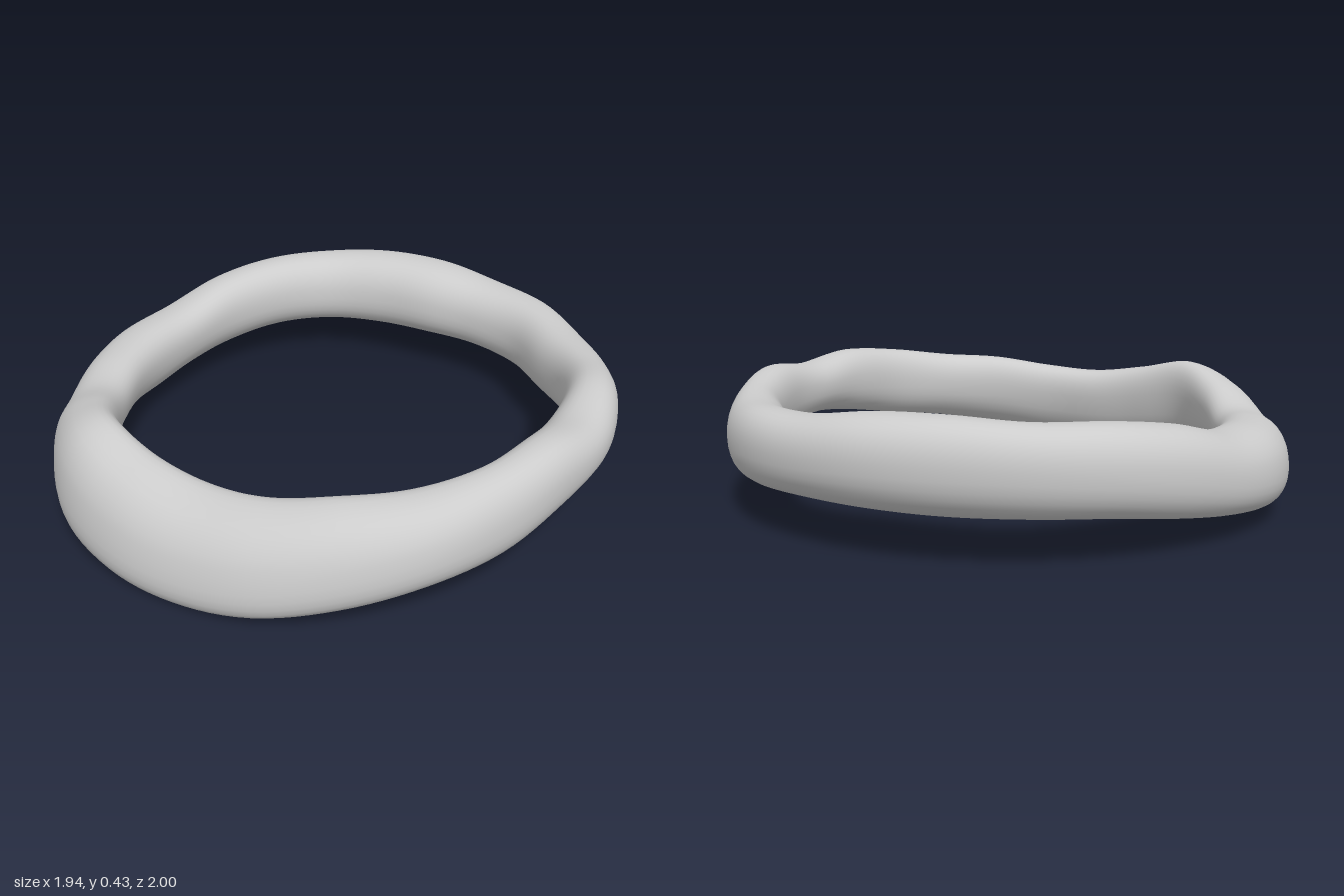
import * as THREE from 'three';

// Cross-sections every 15 degrees, from +x round through +z:
// outer radius, inner radius, bottom, top, lean
const stations = [
  [0.97, 0.765, 0.21, 0.40, 0], [0.965, 0.775, 0.185, 0.428, 0], [0.975, 0.79, 0.145, 0.41, -0.1],
  [0.99, 0.77, 0.115, 0.38, -0.2], [0.995, 0.76, 0.07, 0.365, -0.35], [1.0, 0.75, 0.025, 0.335, -0.45],
  [0.995, 0.735, 0.003, 0.325, -0.5], [1.0, 0.75, 0.008, 0.355, -0.5], [1.0, 0.77, 0.035, 0.395, -0.45],
  [0.965, 0.745, 0.075, 0.35, -0.3], [0.935, 0.72, 0.095, 0.29, -0.2], [0.945, 0.715, 0.075, 0.30, -0.2],
  [0.97, 0.715, 0.05, 0.31, -0.2], [0.975, 0.725, 0.07, 0.32, -0.2], [0.985, 0.75, 0.10, 0.37, -0.1],
  [1.0, 0.77, 0.13, 0.40, 0], [1.01, 0.78, 0.14, 0.41, 0.1], [1.005, 0.755, 0.14, 0.425, 0.1],
  [1.0, 0.735, 0.14, 0.42, 0.1], [0.99, 0.76, 0.14, 0.392, 0.1], [0.985, 0.78, 0.13, 0.385, 0.1],
  [0.97, 0.765, 0.12, 0.375, 0], [0.962, 0.785, 0.14, 0.39, 0], [0.965, 0.785, 0.185, 0.42, 0],
];

// Periodic Catmull-Rom blend of one station value
function sample(u, k) {
  const n = stations.length, i = Math.floor(u), f = u - i;
  const [a, b, c, d] = [-1, 0, 1, 2].map((o) => stations[(i + o + n) % n][k]);
  return b + 0.5 * f * (c - a + f * (2 * a - 5 * b + 4 * c - d + f * (3 * (b - c) + d - a)));
}

// Slightly squared-off sine for a fuller section
const full = (s) => Math.sign(s) * Math.pow(Math.abs(s), 0.88);

function ringGeometry(around = 144, sides = 32) {
  const positions = [], index = [];
  for (let i = 0; i < around; i++) {
    const a = (i / around) * Math.PI * 2;
    const [outer, inner, bottom, top, lean] =
      [0, 1, 2, 3, 4].map((k) => sample((i / around) * stations.length, k));
    for (let j = 0; j < sides; j++) {
      const t = (j / sides) * Math.PI * 2;
      const r = (outer + inner) / 2 + ((outer - inner) / 2) * full(Math.cos(t));
      const y = (bottom + top) / 2 + ((top - bottom) / 2) * full(Math.sin(t + lean));
      positions.push(r * Math.cos(a), y, r * Math.sin(a));

      // Both directions wrap round to close the ring
      const i2 = (i + 1) % around, j2 = (j + 1) % sides;
      const p = i * sides + j, q = i * sides + j2, s = i2 * sides + j, w = i2 * sides + j2;
      index.push(p, q, s, q, w, s);
    }
  }
  const geometry = new THREE.BufferGeometry();
  geometry.setAttribute('position', new THREE.Float32BufferAttribute(positions, 3));
  geometry.setIndex(index);
  geometry.computeVertexNormals();
  return geometry;
}

export function createModel() {
  const group = new THREE.Group();
  group.name = 'unevenRing';
  const material = new THREE.MeshStandardMaterial({ color: 0xcccccc });
  material.name = 'light grey';
  const band = new THREE.Mesh(ringGeometry(), material);
  band.name = 'band';
  group.add(band);
  return group;
}
